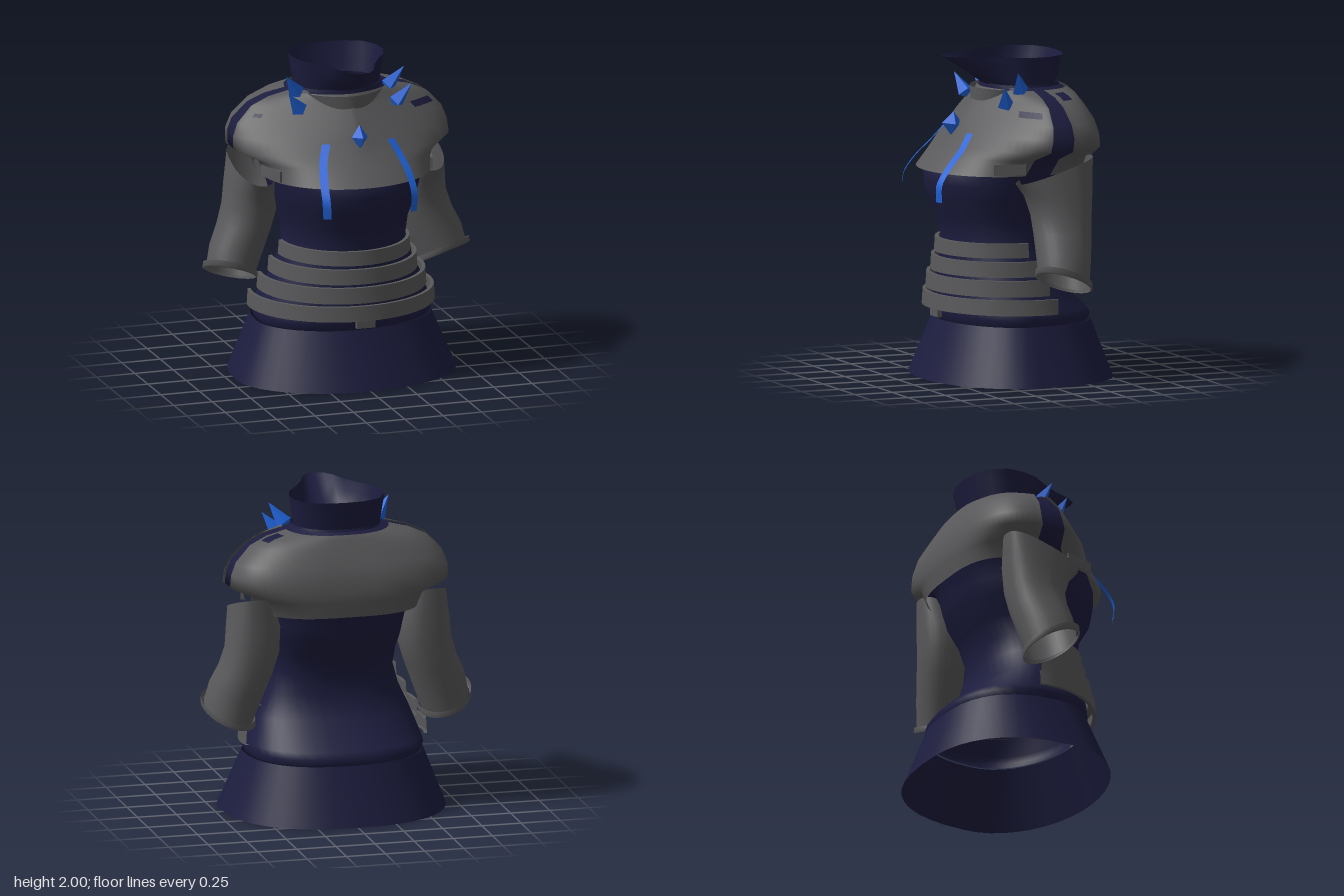
import * as THREE from 'three';

const mat = (name, color) => {
  const m = new THREE.MeshStandardMaterial({ color, side: THREE.DoubleSide });
  m.name = name;
  return m;
};

// Surface through rings of points, listed from bottom to top
function loft(rings, closed) {
  const n = rings[0].length, pos = [], idx = [];
  rings.forEach(r => r.forEach(p => pos.push(...p)));
  for (let j = 0; j < rings.length - 1; j++)
    for (let i = 0; i < (closed ? n : n - 1); i++) {
      const k = (i + 1) % n, a = j * n, b = a + n;
      idx.push(a + i, a + k, b + i, a + k, b + k, b + i);
    }
  const g = new THREE.BufferGeometry();
  g.setAttribute('position', new THREE.Float32BufferAttribute(pos, 3));
  g.setIndex(idx);
  g.computeVertexNormals();
  return g;
}

// Signed power: below 1 squares a circle off, near 2 makes it a wedge
const spow = (v, p) => Math.sign(v) * Math.pow(Math.abs(v), p);

// Body section row: [y, half width, front z, back z, widest z, front power, back power]
// a = 0 faces front
function bodyPoint([y, rx, zf, zb, cz, fp = 1, bp = 0.82], a) {
  const c = Math.cos(a), p = c >= 0 ? fp : bp;
  return [rx * spow(Math.sin(a), p), y, cz + ((c >= 0 ? zf : zb) - cz) * Math.pow(Math.abs(c), p)];
}
const arc = (rows, a0, a1, n) => loft(rows.map(r =>
  Array.from({ length: n + 1 }, (_, i) => bodyPoint(r, a0 + (a1 - a0) * i / n))), false);
const tube = rows => loft(rows.map(r =>
  Array.from({ length: 40 }, (_, i) => bodyPoint(r, i / 40 * Math.PI * 2))), true);

// Outer plate sections, bottom to top
const PLATE = [
  [1.30, 0.53, 0.58, -0.43, 0.12, 1, 0.65],
  [1.40, 0.56, 0.49, -0.445, 0.07, 1.05, 0.62],
  [1.46, 0.70, 0.43, -0.45, 0.02, 1.22, 0.62],
  [1.54, 0.695, 0.375, -0.44, 0, 1.35, 0.62],
  [1.62, 0.665, 0.325, -0.42, -0.01, 1.5, 0.64],
  [1.72, 0.57, 0.25, -0.37, -0.02, 1.65, 0.68],
  [1.77, 0.46, 0.215, -0.35, -0.02, 1.55, 0.72],
  [1.80, 0.33, 0.19, -0.33, -0.02, 1.2, 0.8],
];
// Plate section at any height, grown outward by d
function plateAt(y, d) {
  let j = 0;
  while (j < PLATE.length - 2 && PLATE[j + 1][0] < y) j++;
  const t = (y - PLATE[j][0]) / (PLATE[j + 1][0] - PLATE[j][0]);
  const r = PLATE[j].map((v, i) => v + (PLATE[j + 1][i] - v) * t);
  return [r[0] + d * 0.5, r[1] + d, r[2] + d, r[3] - d, ...r.slice(4)];
}

// Half outlines (x, z) of the collar from front to back, with a blunt nose at the top
const COLLAR_LOW = [[0, 0.17], [0.05, 0.165], [0.09, 0.15], [0.135, 0.125], [0.19, 0.08], [0.25, 0.02],
  [0.27, -0.05], [0.262, -0.13], [0.21, -0.21], [0.11, -0.255], [0, -0.268]];
const COLLAR_TOP = [[0, 0.45], [0.055, 0.437], [0.095, 0.38], [0.135, 0.27], [0.20, 0.155], [0.265, 0.06],
  [0.295, -0.05], [0.288, -0.15], [0.23, -0.25], [0.12, -0.30], [0, -0.31]];
function collarRing(t) {
  const half = COLLAR_LOW.map(([x, z], i) =>
    [x + (COLLAR_TOP[i][0] - x) * t, 1.815 + 0.185 * t, z + (COLLAR_TOP[i][1] - z) * t]);
  return [...half, ...half.slice(1, -1).reverse().map(([x, y, z]) => [-x, y, z])];
}

export function createModel() {
  const root = new THREE.Group();
  const navy = mat('navy cloth', 0x1c1c3e);
  const grey = mat('grey armour', 0x59595b);
  const blue = mat('blue crystal', 0x2062d8);
  const add = (name, geo, m) => {
    const mesh = new THREE.Mesh(geo, m);
    mesh.name = name;
    root.add(mesh);
    return mesh;
  };

  // Cloth: skirt, torso, neck band and flared collar
  add('skirt', tube([[0, 0.705, 0.60, -0.60, 0.1], [0.36, 0.56, 0.46, -0.463, 0.06]]), navy);
  add('torso', tube([
    [0.36, 0.545, 0.445, -0.445, 0.06],
    [0.40, 0.562, 0.465, -0.458, 0.06],
    [0.44, 0.55, 0.465, -0.43, 0.06],
    [0.60, 0.49, 0.45, -0.24, 0.07],
    [0.75, 0.42, 0.435, -0.20, 0.07],
    [0.88, 0.385, 0.435, -0.20, 0.07],
    [1.00, 0.40, 0.455, -0.25, 0.07],
    [1.12, 0.44, 0.525, -0.33, 0.07],
    [1.22, 0.47, 0.54, -0.355, 0.07],
    [1.30, 0.48, 0.54, -0.375, 0.07],
    [1.40, 0.52, 0.46, -0.425, 0.07],
    ...PLATE.slice(2).map(([y, rx, zf, zb, ...rest]) => [y - 0.006, rx - 0.014, zf - 0.016, zb + 0.016, ...rest]),
    [1.812, 0.28, 0.175, -0.285, -0.03],
  ]), navy);
  add('neckBand', tube([
    [1.74, 0.295, 0.185, -0.305, -0.03],
    [1.80, 0.282, 0.18, -0.293, -0.03],
    [1.825, 0.275, 0.175, -0.285, -0.03],
  ]), navy);
  add('collar', loft([0, 0.33, 0.67, 1].map(collarRing), true), navy);

  // Chest and back plates with a cloth gap over each shoulder
  const q = Math.PI / 2;
  add('chestPlate', arc(PLATE, -q, q, 36), grey);
  add('backPlate', arc(PLATE, q + 0.16, 3 * q - 0.16, 32), grey);
  add('neckGuard', arc([[1.715, 0.22, 0.247, 0, 0.05, 1.1], [1.80, 0.265, 0.25, 0, 0.03, 1.1]], -1.2, 1.2, 16), grey);

  // Cloth patches on the shoulder
  const patch = (name, y0, y1, a0, a1) =>
    add(name, arc([y0, (y0 + y1) / 2, y1].map(y => plateAt(y, 0.006)), a0, a1, 6), navy);
  patch('frontShoulderPatch', 1.655, 1.69, 0.92, 1.28);
  patch('rightShoulderPatch', 1.66, 1.68, -1.25, -1.12);
  patch('backShoulderPatch', 1.75, 1.785, 1.82, 2.05);

  // Four belly bands, each with crisp lips turned in
  [[0.775, 0.865, 0.42, 0.475], [0.66, 0.755, 0.47, 0.495],
    [0.545, 0.645, 0.532, 0.52], [0.435, 0.53, 0.592, 0.537]].forEach(([y0, y1, rx, zf], i) => {
    const end = q + 0.08 * i, cz = 0.05 - 0.015 * i;
    const row = (y, d) => [y, rx - d, zf - d, -0.28, cz];
    add('bellyBand' + (i + 1), arc([row(y0, 0.022), row(y0, 0), row(y0, 0),
      row(y1, 0.006), row(y1, 0.006), row(y1, 0.028)], -end, end, 28), grey);
  });
  add('beltTab', new THREE.BoxGeometry(0.12, 0.06, 0.03), grey).position.set(0, 0.412, 0.495);

  // Sleeve ring: [y, centre x, centre z, radius x, radius z, tilt x, tilt z, power]
  const sleeveRing = (s, [y, cx, cz, rx, rz, tx, tz, p], d = 0) => Array.from({ length: 28 }, (_, i) => {
    const a = i / 28 * Math.PI * 2, c = Math.cos(a), k = c < 0 ? p : 1;
    const dx = spow(Math.sin(a), k) * (rx + d), dz = spow(c, k) * (rz + d);
    return [s * cx + dx, y + s * tx * dx + tz * dz, cz + dz];
  });
  const SLEEVE = [
    [0.66, 0.69, -0.07, 0.15, 0.16, 0.32, 0.38, 1],
    [0.80, 0.645, -0.085, 0.165, 0.17, 0.2, 0.2, 0.95],
    [0.93, 0.59, -0.10, 0.165, 0.18, 0.1, 0.1, 0.88],
    [1.06, 0.55, -0.105, 0.165, 0.19, 0.05, 0, 0.8],
    [1.20, 0.54, -0.09, 0.16, 0.215, 0, -0.1, 0.75],
    [1.335, 0.55, -0.06, 0.125, 0.25, 0, -0.32, 0.7],
  ];
  for (const s of [1, -1]) {
    const side = s > 0 ? 'left' : 'right';
    add(side + 'Sleeve', loft(SLEEVE.map(r => sleeveRing(s, r)), true), grey);
    const cuff = (y, d) => sleeveRing(s, [y, ...SLEEVE[0].slice(1)], d);
    add(side + 'Cuff', loft([cuff(0.645, 0.008), cuff(0.65, 0.02), cuff(0.685, 0.018)], true), grey);

    // Armpit strap
    const strap = add(side + 'Strap', new THREE.BoxGeometry(0.015, 0.07, 0.2), grey);
    strap.position.set(s * 0.52, 1.345, 0.22);
    strap.rotation.y = -s * 0.3;

    // Ribbon hanging over the chest
    const path = new THREE.CatmullRomCurve3([[0.21, 1.54, 0.352], [0.25, 1.45, 0.42], [0.278, 1.35, 0.515],
      [0.287, 1.24, 0.588], [0.28, 1.13, 0.586]].map(p => new THREE.Vector3(...p)));
    const pts = path.getPoints(14).reverse();
    add(side + 'Ribbon', loft(pts.map(p => [-0.024, 0.024].map(w =>
      [s * p.x + w, p.y, p.z + 0.006 - s * w * 0.4])), false), blue);

    // Pair of four-sided shoulder spikes
    [[[0.275, 1.765, 0.04], [0.385, 1.925, 0.108]], [[0.29, 1.685, 0.15], [0.402, 1.84, 0.205]]]
      .forEach(([b, t], i) => {
        const base = new THREE.Vector3(s * b[0], b[1], b[2]);
        const dir = new THREE.Vector3(s * t[0], t[1], t[2]).sub(base);
        const len = dir.length();
        const profile = [[0, 0], [0.052, len * 0.22], [0, len]].map(p => new THREE.Vector2(...p));
        const geo = new THREE.LatheGeometry(profile, 4).toNonIndexed();
        geo.computeVertexNormals();
        const spike = add(side + 'Spike' + (i + 1), geo, blue);
        spike.position.copy(base);
        spike.quaternion.setFromUnitVectors(new THREE.Vector3(0, 1, 0), dir.normalize());
      });
  }

  // Faceted chest gem
  const gem = add('chestGem', new THREE.OctahedronGeometry(1), blue);
  gem.scale.set(0.052, 0.076, 0.07);
  gem.position.set(0, 1.577, 0.385);
  gem.rotation.x = -0.1;

  return root;
}
